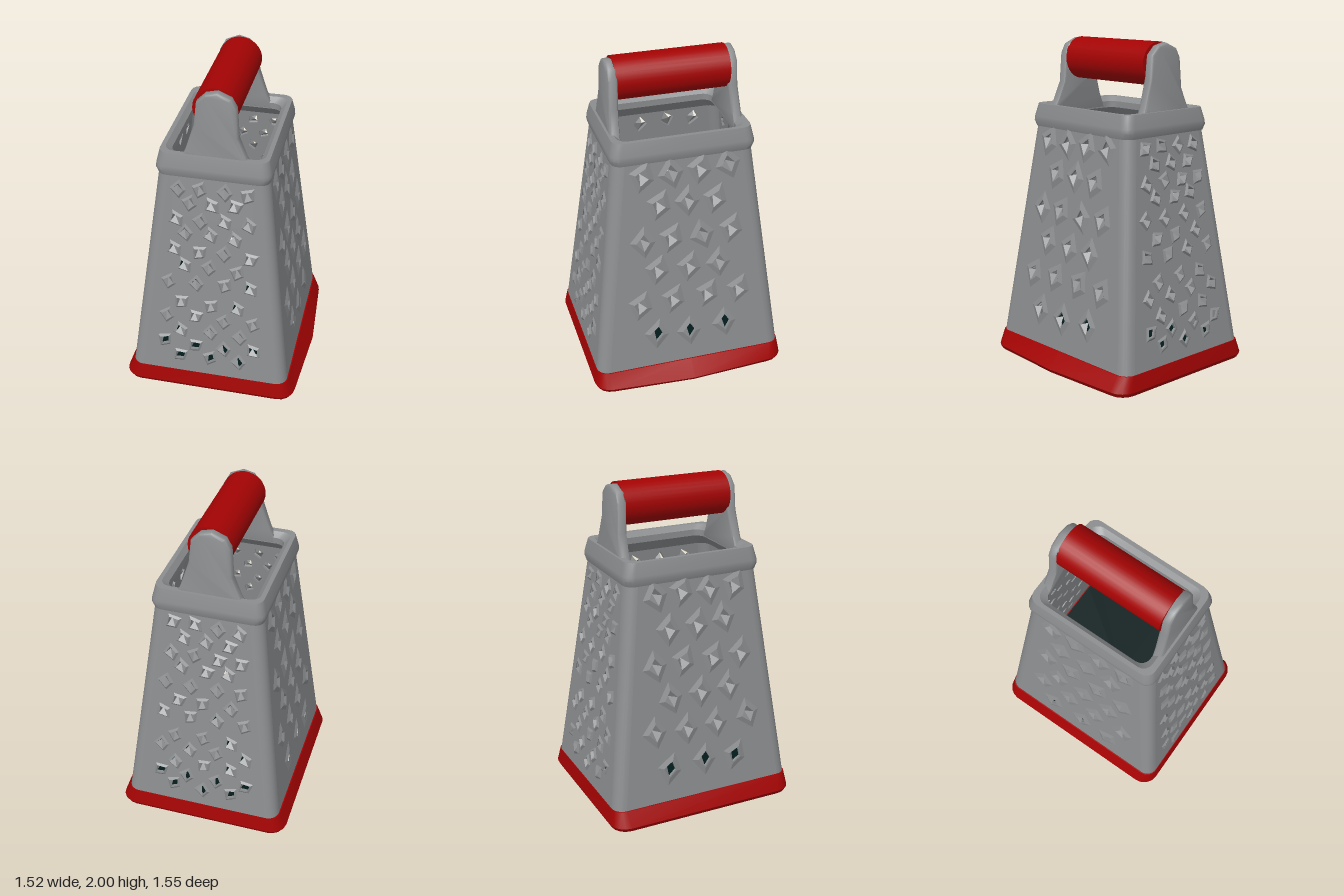
import * as THREE from 'three';
import { toCreasedNormals } from 'three/addons/utils/BufferGeometryUtils.js';

const steel = new THREE.MeshStandardMaterial({ color: 0x8b8d8f, side: THREE.DoubleSide });
steel.name = 'steelGrey';
const red = new THREE.MeshStandardMaterial({ color: 0xa40303 });
red.name = 'gripRed';
const dark = new THREE.MeshStandardMaterial({ color: 0x031919 });
dark.name = 'floorDarkTeal';

const Y0 = 0.1, Y1 = 1.47, R = 0.07, THICK = 0.015;
const halfLong = y => 0.593 - (y - 0.12) * 0.1225;
const halfShort = y => 0.493 - (y - 0.12) * 0.1225;

// Small repeatable number source for the uneven punched holes
function seeded(seed) {
  return () => (seed = (seed * 16807) % 2147483647) / 2147483647;
}

// Moves every vertex by a rule
function warp(geo, rule) {
  const p = geo.attributes.position;
  const v = new THREE.Vector3();
  for (let i = 0; i < p.count; i++) {
    rule(v.fromBufferAttribute(p, i));
    p.setXYZ(i, v.x, v.y, v.z);
  }
  geo.computeVertexNormals();
  return geo;
}

function addMesh(parent, name, geo, mat) {
  const m = new THREE.Mesh(geo, mat);
  m.name = name;
  parent.add(m);
  return m;
}

// Skin through rounded rectangles [half x, half z, corner radius, y, bulge of the +z side]
function loft(sections) {
  const pos = [], idx = [], steps = 4;
  let n = 0;
  for (const [u, v, r, y, bulge = 0] of sections) {
    const start = pos.length;
    for (let k = 0; k < 4; k++) {
      const sx = k === 0 || k === 3 ? 1 : -1, sz = k < 2 ? 1 : -1;
      for (let i = 0; i <= steps; i++) {
        const a = (k + i / steps) * Math.PI / 2;
        pos.push(sx * (u - r) + r * Math.cos(a), y, sz * (v - r) + r * Math.sin(a));
      }
      if (k === 0) pos.push(0, y, v + bulge);
    }
    n = (pos.length - start) / 3;
  }
  for (let s = 0; s < sections.length - 1; s++) {
    for (let j = 0; j < n; j++) {
      const p = s * n + j, q = s * n + (j + 1) % n;
      idx.push(p, p + n, q, q, p + n, q + n);
    }
  }
  const g = new THREE.BufferGeometry();
  g.setAttribute('position', new THREE.Float32BufferAttribute(pos, 3));
  g.setIndex(idx);
  return toCreasedNormals(g, 0.6);
}

// Diamond cut-outs laid out in staggered rows; each has four corners and a centre
function diamonds(rows, span, w, h, twist, rand) {
  const list = [];
  rows.forEach((y, row) => {
    const count = row % 2 ? 3 : 4;
    const step = span(y) * 2 / 3;
    for (let i = 0; i < count; i++) {
      const centre = new THREE.Vector2(
        (i - (count - 1) / 2) * step + (rand() - 0.5) * 0.02, y + (rand() - 0.5) * 0.02);
      const a = (rand() - 0.5) * twist;
      const corners = [[-w, 0.006], [0, -h], [w, -0.006], [0.012, h]].map(p =>
        new THREE.Vector2(...p).rotateAround(new THREE.Vector2(), a).add(centre));
      list.push({ corners, centre });
    }
  });
  return list;
}

// Sloping wall with holes; each hole has a raised lip and a folded-in flap
function wall(parent, name, depthAt, widthAt, holes, lip, spread, angle) {
  const b = widthAt(Y0) - R, t = widthAt(Y1) - R;
  const shape = new THREE.Shape([[-b, Y0], [b, Y0], [t, Y1], [-t, Y1]].map(p => new THREE.Vector2(...p)));
  const tri = [];
  for (const { corners, centre } of holes) {
    shape.holes.push(new THREE.Path([...corners, corners[0]]));
    const rim = corners.map(c => [c.x, c.y, lip]);
    const outer = corners.map(c => {
      const o = c.clone().sub(centre).multiplyScalar(spread).add(centre);
      return [o.x, o.y, 0.001];
    });
    const folds = centre.y < 0.38 ? 1 : 3; // the lowest holes stay mostly open
    for (let i = 0; i < 4; i++) {
      const j = (i + 1) % 4;
      tri.push(...outer[i], ...outer[j], ...rim[j], ...outer[i], ...rim[j], ...rim[i]);
      if (i < folds) tri.push(...rim[i], ...rim[j], centre.x - 0.008, centre.y + 0.012, -0.02);
    }
  }
  const slope = v => { v.z += depthAt(v.y); };
  const plate = new THREE.ExtrudeGeometry(shape, { depth: THICK, bevelEnabled: false });
  plate.translate(0, 0, -THICK);
  const teeth = new THREE.BufferGeometry();
  teeth.setAttribute('position', new THREE.Float32BufferAttribute(tri, 3));
  const side = new THREE.Group();
  side.name = name;
  side.rotation.y = angle;
  addMesh(side, name + 'Plate', warp(plate, slope), steel);
  addMesh(side, name + 'Teeth', warp(teeth, slope), steel);
  parent.add(side);
}

export function createModel() {
  const model = new THREE.Group();
  model.name = 'boxGrater';
  const body = new THREE.Group();
  body.name = 'graterBody';
  body.rotation.y = 0.927;
  model.add(body);
  const rand = seeded(77);

  // Red foot and dark inner floor
  addMesh(body, 'foot', loft([
    [0, 0, 0, 0], [0.6, 0.53, 0.09, 0, 0.03], [0.613, 0.543, 0.1, 0.025, 0.035],
    [0.597, 0.5, 0.07, 0.12], [0, 0, 0, 0.12],
  ]), red);
  addMesh(body, 'innerFloor', loft([[0.57, 0.47, 0.06, 0.125], [0, 0, 0, 0.125]]), dark);

  // Coarse and fine grating walls, two of each
  const coarseRows = [1.39, 1.19, 0.97, 0.77, 0.56, 0.33];
  const fineRows = [1.39, 1.3, 1.19, 1.1, 0.98, 0.88, 0.77, 0.62, 0.53, 0.42, 0.33, 0.24];
  for (let k = 0; k < 2; k++) {
    const coarse = diamonds(coarseRows, y => halfLong(y) * 0.58, 0.042, 0.055, 0.7, rand);
    wall(body, 'coarseWall' + (k + 1), halfShort, halfLong, coarse, 0.012, 1.9, k * Math.PI);
    const fine = diamonds(fineRows, y => halfShort(y) * 0.6, 0.033, 0.04, 1.8, rand);
    wall(body, 'fineWall' + (k + 1), halfLong, halfShort, fine, 0.011, 1.5, (k + 0.5) * Math.PI);
  }

  // Rounded corner strips between the walls
  for (let k = 0; k < 4; k++) {
    const sx = k < 2 ? 1 : -1, sz = k === 0 || k === 3 ? 1 : -1;
    const strip = new THREE.CylinderGeometry(R, R, Y1 - Y0, 6, 1, true, k * Math.PI / 2, Math.PI / 2);
    strip.translate(0, (Y0 + Y1) / 2, 0);
    addMesh(body, 'cornerStrip' + (k + 1), warp(strip, v => {
      v.x += sx * (halfLong(v.y) - R);
      v.z += sz * (halfShort(v.y) - R);
    }), steel);
  }

  // Flared top rim, open in the middle
  addMesh(body, 'rim', loft([
    [0.431, 0.331, 0.06, 1.46], [0.441, 0.341, 0.06, 1.495], [0.439, 0.339, 0.06, 1.52],
    [0.421, 0.321, 0.06, 1.6], [0.385, 0.295, 0.06, 1.6], [0.352, 0.266, 0.06, 1.57],
    [0.352, 0.266, 0.06, 1.53], [0.415, 0.315, 0.06, 1.46],
  ]), steel);

  // Lopsided handle brackets, leaning outward; the second is the first turned half round
  const outline = [
    [0.22, 1.54], [0.18, 1.6], [0.13, 1.72], [0.118, 1.9], [0.09, 1.95], [0.02, 1.98],
    [-0.04, 1.965], [-0.085, 1.92], [-0.1, 1.78], [-0.15, 1.62], [-0.19, 1.54],
  ];
  for (let k = 0; k < 2; k++) {
    const plate = new THREE.ExtrudeGeometry(
      new THREE.Shape(outline.map(p => new THREE.Vector2(...p))),
      { depth: 0.03, bevelSize: 0.014, bevelThickness: 0.015, bevelSegments: 2 });
    plate.rotateY(Math.PI / 2);
    warp(plate, v => { v.x += 0.35 + Math.max(0, 1.8 - v.y) * 0.06; });
    const m = addMesh(body, 'handleBracket' + (k + 1), toCreasedNormals(plate, 0.8), steel);
    m.rotation.y = k * Math.PI;
  }

  // Red grip between the brackets
  const grip = new THREE.CylinderGeometry(0.13, 0.13, 0.69, 32);
  grip.rotateZ(Math.PI / 2);
  addMesh(body, 'grip', grip, red).position.y = 1.87;

  return model;
}
